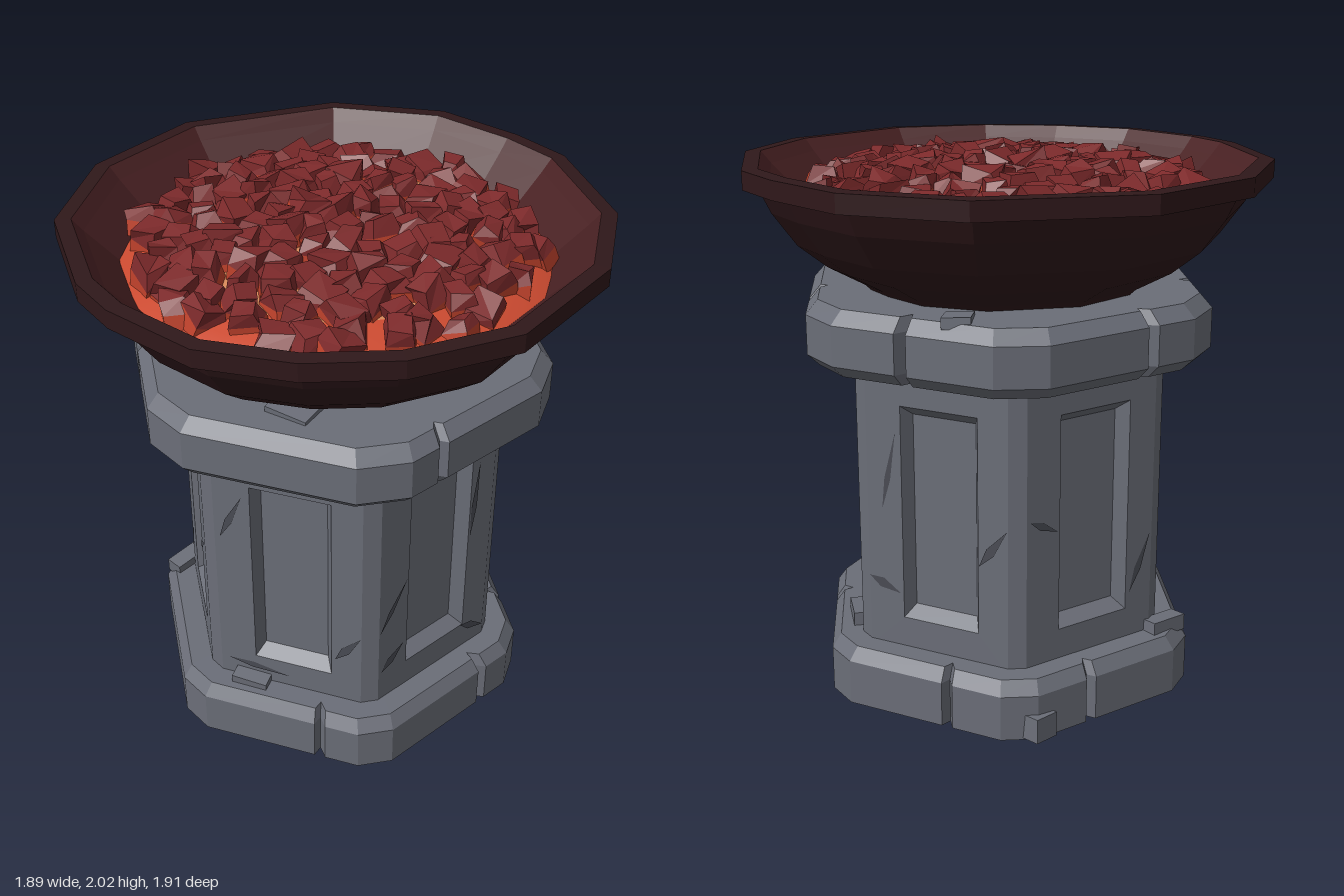
import * as THREE from 'three';
import { mergeGeometries } from 'three/addons/utils/BufferGeometryUtils.js';

const mat = (name, color) => Object.assign(new THREE.MeshStandardMaterial({ color }), { name });

function rng(seed) {
  return () => (seed = (seed * 16807) % 2147483647) / 2147483647;
}

// Faceted geometry from a list of triangle corners
function facets(pts) {
  const g = new THREE.BufferGeometry();
  g.setAttribute('position', new THREE.Float32BufferAttribute(pts.flat(), 3));
  g.computeVertexNormals();
  return g;
}
const quad = (a, b, c, d) => [a, b, c, a, c, d];

// Skin an outline of [x, z] (anticlockwise from above) through [scale, y] sections
function loft(outline, sections, bottom = false, top = false) {
  const pts = [], n = outline.length;
  const at = (s, i) => [outline[i % n][0] * s[0], s[1], outline[i % n][1] * s[0]];
  for (let i = 0; i < n; i++) {
    for (let k = 0; k < sections.length - 1; k++) {
      const lo = sections[k], hi = sections[k + 1];
      pts.push(...quad(at(lo, i), at(lo, i + 1), at(hi, i + 1), at(hi, i)));
    }
    const first = sections[0], last = sections[sections.length - 1];
    if (bottom) pts.push([0, first[1], 0], at(first, i + 1), at(first, i));
    if (top) pts.push([0, last[1], 0], at(last, i), at(last, i + 1));
  }
  return facets(pts);
}

// Hexagon with cut corners and V-shaped chips; notches are [side, position, depth]
function chippedHex(R, cut, notches) {
  const corner = (k) => {
    const a = (k * 60 - 30) * Math.PI / 180;
    return [R * Math.sin(a), R * Math.cos(a)];
  };
  const out = [];
  for (let k = 0; k < 6; k++) {
    const a = corner(k), b = corner(k + 1);
    const add = (t, s = 1) => out.push([(a[0] + (b[0] - a[0]) * t) * s, (a[1] + (b[1] - a[1]) * t) * s]);
    add(cut);
    for (const [side, t, d] of notches) {
      if (side === k) { add(t - 0.025); add(t, 1 - d); add(t + 0.03); }
    }
    add(1 - cut);
  }
  return out;
}

export function createModel() {
  const model = new THREE.Group();
  const stone = mat('stone', 0x6b6e78);
  const crackStone = mat('shadowed stone', 0x4a4c54);
  const iron = mat('dark iron', 0x2f181a);
  const ironInside = mat('warm iron', 0x492123);
  const coal = mat('coal', 0x7d2a2b);
  const hotCoal = mat('hot coal', 0xbe412b);
  const glow = mat('glow', 0xd9895a);
  const emberRed = mat('ember red', 0xcc4a30);
  const add = (name, geo, material, parent = model) => {
    const m = new THREE.Mesh(geo, material);
    m.name = name;
    parent.add(m);
    return m;
  };

  // Base and capital slabs
  add('base', loft(chippedHex(0.775, 0.1, [[0, 0.72, 0.06], [1, 0.35, 0.05], [2, 0.62, 0.06], [3, 0.4, 0.05], [5, 0.7, 0.06]]),
    [[1, 0], [1, 0.17], [0.95, 0.22]], true, true), stone);
  add('capital', loft(chippedHex(0.83, 0.13, [[0, 0.3, 0.04], [1, 0.6, 0.04], [2, 0.45, 0.07], [3, 0.65, 0.05], [4, 0.4, 0.05]]),
    [[0.94, 1.27], [1, 1.315], [1, 1.46], [0.94, 1.51]], true, true), stone);

  // Six-sided shaft with a recessed panel on each side
  const R = 0.64, ap = R * Math.sqrt(3) / 2, hw = R * 0.44, y0 = 0.2, y1 = 1.29;
  const rect = (l, r, b, t, z) => [[l, b, z], [r, b, z], [r, t, z], [l, t, z]];
  const rings = [rect(-hw, hw, y0, y1, ap), rect(-0.14, 0.165, 0.335, 1.15, ap), rect(-0.115, 0.135, 0.375, 1.11, ap - 0.05)];
  const side = [];
  for (let k = 0; k < 2; k++) {
    for (let i = 0; i < 4; i++) {
      const j = (i + 1) % 4;
      side.push(...quad(rings[k][i], rings[k][j], rings[k + 1][j], rings[k + 1][i]));
    }
  }
  side.push(...quad(...rings[2]));
  // Narrow cut corner beside each side
  const c = Math.cos(Math.PI / 3), s = Math.sin(Math.PI / 3);
  const nx = -hw * c + ap * s, nz = hw * s + ap * c;
  side.push(...quad([hw, y0, ap], [nx, y0, nz], [nx, y1, nz], [hw, y1, ap]));

  // Cracks per side: [x, y, x, y, width]
  const cracks = [
    [[-0.28, 0.56, -0.15, 0.76, 0.012], [0.17, 0.78, 0.2, 1.12, 0.014], [0.15, 0.34, 0.28, 0.27, 0.018], [-0.27, 0.36, -0.16, 0.45, 0.02]],
    [[-0.27, 0.27, -0.12, 0.3, 0.015], [0.18, 0.58, 0.28, 0.48, 0.016], [0.18, 1.02, 0.24, 1.14, 0.012]],
    [[-0.28, 0.48, -0.15, 0.43, 0.02], [0.17, 0.6, 0.28, 0.75, 0.018], [-0.22, 0.75, -0.16, 1.05, 0.012]],
    [[-0.27, 0.78, -0.15, 0.72, 0.015], [0.18, 0.4, 0.27, 0.62, 0.015]],
    [[-0.25, 0.34, -0.16, 0.55, 0.014], [0.18, 0.72, 0.28, 0.82, 0.018], [0.0, 0.26, 0.22, 0.3, 0.012]],
    [[0.18, 0.42, 0.28, 0.55, 0.018], [-0.26, 0.9, -0.17, 1.1, 0.014], [-0.25, 0.3, 0.0, 0.27, 0.014]],
  ];
  cracks.forEach((list, k) => {
    const face = new THREE.Group();
    face.name = 'shaftSide';
    face.rotation.y = k * Math.PI / 3;
    model.add(face);
    add('panelledFace', facets(side), stone, face);
    const pts = [];
    for (const [ax, ay, bx, by, w] of list) {
      const len = Math.hypot(bx - ax, by - ay), px = (ay - by) / len * w, py = (bx - ax) / len * w;
      const mx = ax * 0.6 + bx * 0.4, my = ay * 0.6 + by * 0.4, z = ap + 0.004;
      pts.push(...quad([ax, ay, z], [mx - px, my - py, z], [bx, by, z], [mx + px, my + py, z]));
    }
    add('cracks', facets(pts), crackStone, face);
  });

  // Loose stone chips on the slabs
  const chips = [
    [-0.4, 1.51, 0.28, 0.22, 0.05, 0.16, 0.3], [0.47, 1.505, -0.42, 0.14, 0.04, 0.1, 0.9],
    [0.3, 0.05, -0.66, 0.1, 0.09, 0.08, 0.2], [-0.34, 0.23, -0.57, 0.16, 0.06, 0.07, 0.1],
    [0.56, 0.23, 0.15, 0.08, 0.07, 0.16, -0.4], [-0.56, 0.23, 0.15, 0.1, 0.05, 0.14, 0.5],
  ];
  for (const [x, y, z, w, h, d, turn] of chips) {
    const chip = add('stoneChip', new THREE.BoxGeometry(w, h, d), stone);
    chip.position.set(x, y, z);
    chip.rotation.set(0.06, turn, 0.05);
  }

  // Hammered bowl with an uneven rim
  const rim = [[-0.08, 0.95], [0.42, 0.86], [0.73, 0.63], [0.94, 0.2], [0.945, -0.04], [0.89, -0.38], [0.62, -0.73], [0.07, -0.96],
    [-0.4, -0.88], [-0.75, -0.61], [-0.93, -0.2], [-0.95, 0], [-0.89, 0.35], [-0.7, 0.62], [-0.45, 0.82]];
  add('bowlOutside', loft(rim, [[0.52, 1.495], [0.56, 1.53], [0.7, 1.605], [0.81, 1.69], [0.9, 1.81], [0.94, 1.89],
    [1, 1.895], [1, 1.962], [0.94, 1.965]], true), iron);
  add('bowlInside', loft(rim, [[0.94, 1.965], [0.9, 1.92], [0.78, 1.8]]), ironInside);

  // Glowing bed under the coals
  add('bedCentre', new THREE.LatheGeometry([[0.55, 1.865], [0.3, 1.89], [0, 1.9]].map(p => new THREE.Vector2(...p)), 20), glow);
  add('bedEdge', new THREE.LatheGeometry([[0.77, 1.8], [0.68, 1.84], [0.55, 1.865]].map(p => new THREE.Vector2(...p)), 20), emberRed);

  // Coals: uneven chunks, hot at the foot and darker on top
  const rand = rng(4711), upper = [], lower = [];
  const COUNT = 130;
  for (let i = 0; i < COUNT; i++) {
    const r = 0.7 * Math.sqrt((i + 0.5) / COUNT), a = i * 2.39996 + (rand() - 0.5) * 0.1;
    const size = 0.085 + rand() * 0.04;
    const skew = Array.from({ length: 8 }, () => [rand(), rand(), rand()].map(v => (v - 0.5) * 0.3));
    const g = new THREE.BoxGeometry(1, 1, 1, 1, 2, 1);
    const p = g.attributes.position, v = new THREE.Vector3();
    for (let k = 0; k < p.count; k++) {
      v.fromBufferAttribute(p, k);
      const e = skew[(v.x > 0 ? 1 : 0) + (v.z > 0 ? 2 : 0) + (v.y > 0.1 ? 4 : 0)];
      const taper = v.y > 0.1 ? 0.78 : 1;
      p.setXYZ(k, v.x * taper + e[0], v.y + e[1], v.z * taper + e[2]);
    }
    const bed = 1.9 - 0.14 * r * r;
    g.applyMatrix4(new THREE.Matrix4().compose(
      new THREE.Vector3(r * Math.sin(a), bed + 0.01 + rand() * 0.02, r * Math.cos(a)),
      new THREE.Quaternion().setFromEuler(new THREE.Euler((rand() - 0.5) * 0.7, rand() * 6.28, (rand() - 0.5) * 0.7)),
      new THREE.Vector3(size, 0.1 + rand() * 0.03, size * (0.85 + rand() * 0.4))));
    // Each box side is four triangles, two per height band
    const tri = g.toNonIndexed().attributes.position.array;
    for (let t = 0; t < tri.length / 9; t++) {
      const isTop = t >= 8 && t < 10;
      const isUpperBand = (t < 8 || t >= 12) && t % 4 < 2;
      const dest = isTop || isUpperBand ? upper : lower;
      for (let k = 0; k < 3; k++) dest.push(Array.from(tri.slice(t * 9 + k * 3, t * 9 + k * 3 + 3)));
    }
  }
  add('coalTops', mergeGeometries([facets(upper)]), coal);
  add('coalFeet', mergeGeometries([facets(lower)]), hotCoal);

  return model;
}
